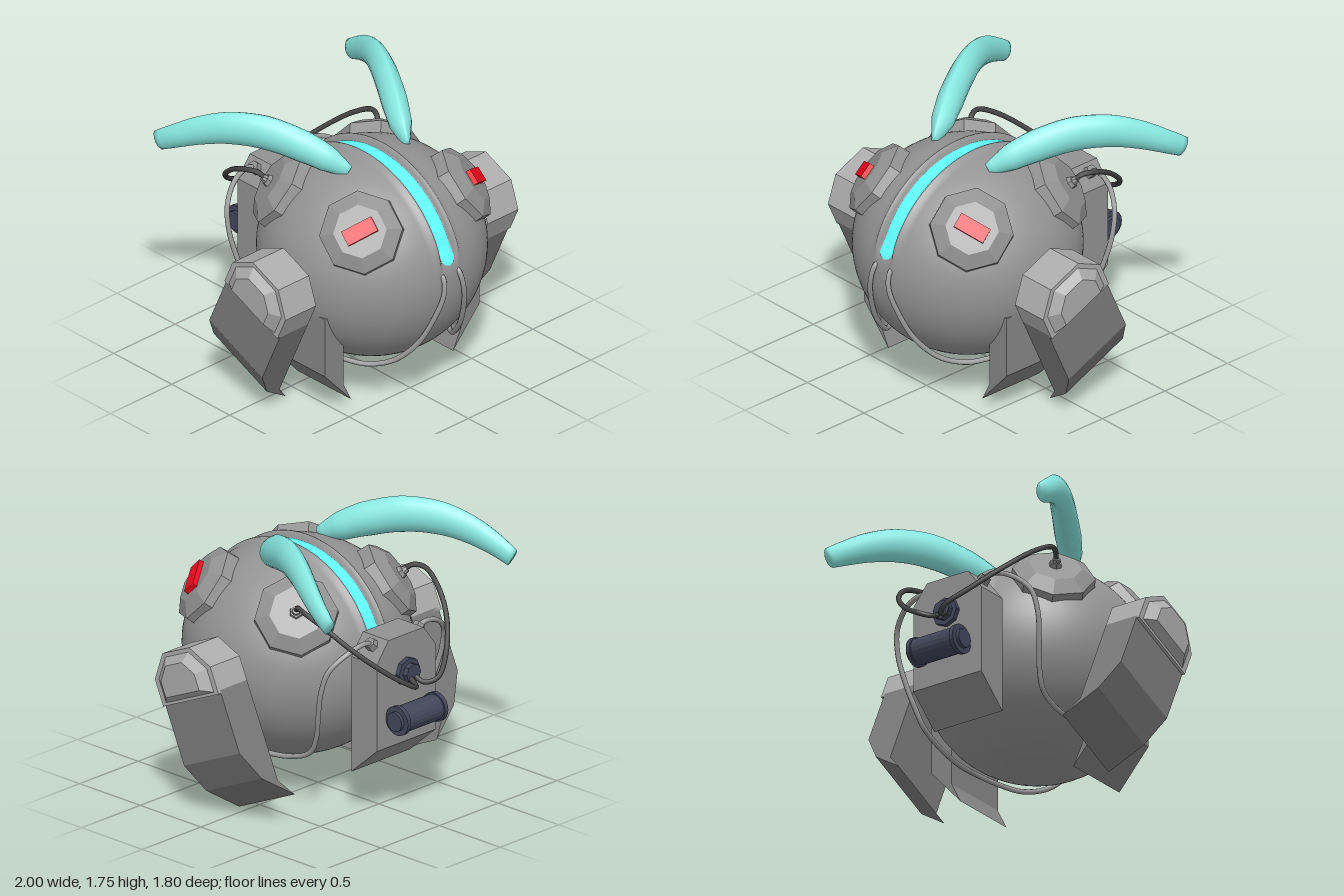
import * as THREE from 'three';
import { mergeVertices } from 'three/addons/utils/BufferGeometryUtils.js';

const V = (x, y, z) => new THREE.Vector3(x, y, z);
const mat = (color, flatShading = false) => new THREE.MeshStandardMaterial({ color, flatShading });

// Surface through rows x cols of points given by fn(i, j)
function grid(rows, cols, fn, smooth = true) {
  const pos = [], idx = [];
  for (let i = 0; i < rows; i++) for (let j = 0; j < cols; j++) pos.push(...fn(i, j).toArray());
  for (let i = 0; i < rows - 1; i++) for (let j = 0; j < cols - 1; j++) {
    const a = i * cols + j, b = a + cols;
    idx.push(a, b, b + 1, a, b + 1, a + 1);
  }
  let g = new THREE.BufferGeometry();
  g.setAttribute('position', new THREE.Float32BufferAttribute(pos, 3));
  g.setIndex(idx);
  g = smooth ? mergeVertices(g) : g.toNonIndexed();
  g.computeVertexNormals();
  return g;
}

// Reflect across x = 0, keeping faces outward
function mirrored(geo) {
  const g = geo.index ? geo.toNonIndexed() : geo.clone();
  g.scale(-1, 1, 1);
  for (const a of Object.values(g.attributes)) {
    const n = a.itemSize, arr = a.array;
    for (let t = 0; t < a.count; t += 3) for (let k = 0; k < n; k++) {
      const p = (t + 1) * n + k, q = (t + 2) * n + k, tmp = arr[p];
      arr[p] = arr[q];
      arr[q] = tmp;
    }
  }
  return g;
}

const tube = (pts, r) => new THREE.TubeGeometry(
  new THREE.CatmullRomCurve3(pts.map(p => V(...p))), pts.length * 8, r, 8);

// Body surface: x across, angle from the front over the top, plus a radial offset
const R = 0.687, CY = 0.86, CZ = 0.17;
function bodyPoint(x, a, off = 0) {
  const r = Math.sqrt(Math.max(0, 1 - (x / R) ** 2));
  const ry = Math.sin(a) > 0 ? 0.645 : 0.67;
  return V(x, CY + Math.sin(a) * (r * ry + off), CZ + Math.cos(a) * (r * R + off));
}
const grooveMask = a => THREE.MathUtils.smoothstep(Math.sin(a), 0.13, 0.4);

export function createModel() {
  const model = new THREE.Group();
  const grey = mat(0x949494), podGrey = mat(0x929292, true), packGrey = mat(0x929292, true);
  const shoulderGrey = mat(0xacacac, true), armGrey = mat(0x7c7c7c, true), innerGrey = mat(0x868686, true);
  const cyan = mat(0x62ffff), hornCyan = mat(0x88e8e2), red = mat(0xf8081e, true);
  const navy = mat(0x42465a, true), black = mat(0x464646), hoseGrey = mat(0x9c9c9c);

  const add = (name, geo, material) => {
    const m = new THREE.Mesh(geo, material);
    m.name = name;
    model.add(m);
  };
  const addPair = (name, geo, material) => {
    add(name + 'Left', geo, material);
    add(name + 'Right', mirrored(geo), material);
  };

  // Body with a ridged groove running over the top
  const half = [[0, -0.03], [0.05, -0.03], [0.058, -0.01], [0.07, 0.016], [0.082, 0.016], [0.1, 0], [0.13, 0]];
  for (let k = 1; k <= 18; k++) half.push([R * Math.sin(THREE.MathUtils.lerp(0.191, Math.PI / 2, k / 18)), 0]);
  const bands = [...half.slice(1).reverse().map(([x, o]) => [-x, o]), ...half];
  add('body', grid(bands.length, 97, (i, j) => {
    const a = -Math.PI / 2 + j / 96 * Math.PI * 2;
    return bodyPoint(bands[i][0], a, bands[i][1] * grooveMask(a));
  }), grey);

  // Bright strip lying in the groove, rounded at both ends
  add('grooveStrip', grid(5, 161, (i, j) => {
    const a = THREE.MathUtils.lerp(0.2, Math.PI - 0.2, j / 160);
    const d = Math.min(1, Math.min(a - 0.2, Math.PI - 0.2 - a) / 0.075);
    const x = (i / 2 - 1) * 0.05 * Math.sqrt(Math.max(0, 1 - (1 - d) ** 2));
    return bodyPoint(x, a, -0.03 * grooveMask(a) + 0.006);
  }), cyan);

  // Horns: lofted blade-like sections [x, y, z, half width, half height]
  const horn = [
    [0.235, 1.46, 0.22, 0.02, 0.045], [0.30, 1.525, 0.1, 0.07, 0.09], [0.375, 1.585, -0.03, 0.08, 0.108],
    [0.49, 1.64, -0.23, 0.075, 0.115], [0.60, 1.635, -0.42, 0.067, 0.108], [0.685, 1.585, -0.58, 0.058, 0.093],
    [0.75, 1.51, -0.73, 0.048, 0.075], [0.782, 1.445, -0.845, 0.033, 0.062]];
  const spine = new THREE.CatmullRomCurve3(horn.map(h => V(h[0], h[1], h[2])));
  const N = 28;
  addPair('horn', grid(N + 3, 17, (i, j) => {
    const t = THREE.MathUtils.clamp((i - 1) / N, 0, 1);
    const f = t * (horn.length - 1), k = Math.min(Math.floor(f), horn.length - 2);
    const size = n => i === 0 || i === N + 2 ? 0 : THREE.MathUtils.lerp(horn[k][n], horn[k + 1][n], f - k);
    const T = spine.getTangent(t), side = T.clone().cross(V(0, 1, 0)).normalize();
    const up = side.clone().cross(T), a = j / 16 * Math.PI * 2, c = Math.cos(a);
    return spine.getPoint(t).addScaledVector(side, size(3) * Math.sign(c) * Math.abs(c) ** 1.4)
      .addScaledVector(up, size(4) * Math.sin(a));
  }), hornCyan);

  // Octagonal pods set into the body: front ones with a red eye, rear ones with a cable nut
  const pod = (name, dir, along) => {
    const n = V(...dir).normalize(), u = V(...along);
    u.addScaledVector(n, -u.dot(n)).normalize();
    const place = new THREE.Matrix4().makeBasis(u, n, u.clone().cross(n)).setPosition(0, CY, CZ);
    const ring = (r0, r1, y0, y1, sides) => new THREE.CylinderGeometry(r1, r0, y1 - y0, sides)
      .rotateY(Math.PI / sides).translate(0, (y0 + y1) / 2, 0).applyMatrix4(place);
    addPair(name + 'Base', ring(0.255, 0.25, 0.58, 0.685, 8), podGrey);
    addPair(name + 'Bevel', ring(0.25, 0.16, 0.685, 0.74, 8), podGrey);
    return { place, ring };
  };
  const front = pod('frontPod', [0.63, 0.575, 0.525], [-0.17, 0.078, 0.088]);
  addPair('eye', new THREE.BoxGeometry(0.2, 0.05, 0.095).translate(0, 0.745, 0).applyMatrix4(front.place), red);
  const rear = pod('rearPod', [0.6, 0.57, -0.565], [-0.17, 0.08, -0.088]);
  addPair('rearPodNut', rear.ring(0.042, 0.036, 0.735, 0.765, 6), podGrey);
  addPair('rearPodPlug', rear.ring(0.026, 0.022, 0.765, 0.79, 8), podGrey);

  // Limb plates: profile in x and y, extruded along z
  const plate = (pts, z0, z1) => new THREE.ExtrudeGeometry(
    new THREE.Shape(pts.map(p => new THREE.Vector2(...p))),
    { depth: z1 - z0, bevelEnabled: false }).translate(0, 0, z0);
  const tilt = g => g.rotateX(0.42).translate(0, 0.761, 0.13);
  addPair('outerArm', tilt(plate([[0.93, 0.02], [0.7, 0.02], [0.7, -0.605], [0.605, -0.718], [0.82, -0.56], [0.93, -0.374]],
    -0.25, 0.25)), armGrey);
  addPair('innerArm', plate([[0.63, 0.69], [0.48, 0.69], [0.48, 0.19], [0.415, 0.06], [0.54, 0.2], [0.63, 0.3]],
    -0.03, 0.43), innerGrey);

  // Shoulders: hexagonal block with a tapered outer cap
  const hex = [[0.25, 0], [0.25, 0.17], [0.12, 0.31], [-0.12, 0.31], [-0.25, 0.17], [-0.25, 0]];
  const rings = [[0.7, 0], [0.7, 1], [0.95, 1], [0.95, 0.86], [1, 0.6], [1, 0]];
  addPair('shoulder', tilt(grid(rings.length, 7, (i, j) => {
    const [z, y] = hex[j % 6], [x, s] = rings[i];
    return V(x, 0.13 + (y - 0.13) * s, z * s);
  }, false)), shoulderGrey);

  // Backpack: chamfered top corners and a slanted underside
  const pack = plate([[-0.25, 0.3], [0.25, 0.3], [0.25, 1.02], [0.15, 1.15], [-0.15, 1.15], [-0.25, 1.02]], -0.725, -0.515);
  const p = pack.attributes.position;
  for (let i = 0; i < p.count; i++) if (p.getY(i) < 0.31) p.setY(i, p.getZ(i) < -0.6 ? 0.47 : 0.285);
  pack.computeVertexNormals();
  add('backpack', pack, packGrey);
  addPair('backpackNut', new THREE.CylinderGeometry(0.036, 0.042, 0.06, 6).rotateZ(-0.8).translate(0.195, 1.11, -0.63), packGrey);

  // Canister across the back
  const drum = (name, r, x, len) => add(name,
    new THREE.CylinderGeometry(r, r, len, 20).rotateZ(Math.PI / 2).translate(x, 0.667, -0.815), navy);
  drum('canister', 0.082, 0, 0.34);
  for (const s of [-1, 1]) {
    drum('canisterRim', 0.092, s * 0.158, 0.028);
    drum('canisterCap', 0.06, s * 0.18, 0.03);
  }

  // Cable socket
  const socket = (name, r, z0, z1, sides) => add(name,
    new THREE.CylinderGeometry(r, r, z0 - z1, sides).rotateX(Math.PI / 2).translate(0, 0.915, (z0 + z1) / 2), navy);
  socket('socketPlate', 0.09, -0.72, -0.755, 8);
  socket('socketCollar', 0.06, -0.755, -0.79, 8);

  // Dark cables from the rear pods to the socket
  addPair('darkCable', tube([[0.44, 1.27, -0.24], [0.485, 1.335, -0.3], [0.515, 1.335, -0.38], [0.485, 1.27, -0.51],
    [0.4, 1.14, -0.67], [0.24, 0.98, -0.82], [0.1, 0.885, -0.885], [0.035, 0.865, -0.84], [0.02, 0.9, -0.76]], 0.016), black);

  // Grey hoses from the backpack, under the body and up to the front
  addPair('hose', tube([[0.19, 1.11, -0.63], [0.26, 1.135, -0.635], [0.38, 1.1, -0.615], [0.49, 1.0, -0.56], [0.515, 0.86, -0.52],
    [0.495, 0.7, -0.48], [0.46, 0.54, -0.43], [0.44, 0.42, -0.36], [0.44, 0.35, -0.2], [0.46, 0.33, 0],
    [0.46, 0.33, 0.2], [0.41, 0.31, 0.37], [0.33, 0.29, 0.48], [0.24, 0.335, 0.61], [0.17, 0.48, 0.745],
    [0.12, 0.67, 0.835], [0.08, 0.83, 0.875], [0.065, 0.92, 0.858], [0.06, 0.95, 0.82]], 0.016), hoseGrey);

  return model;
}
